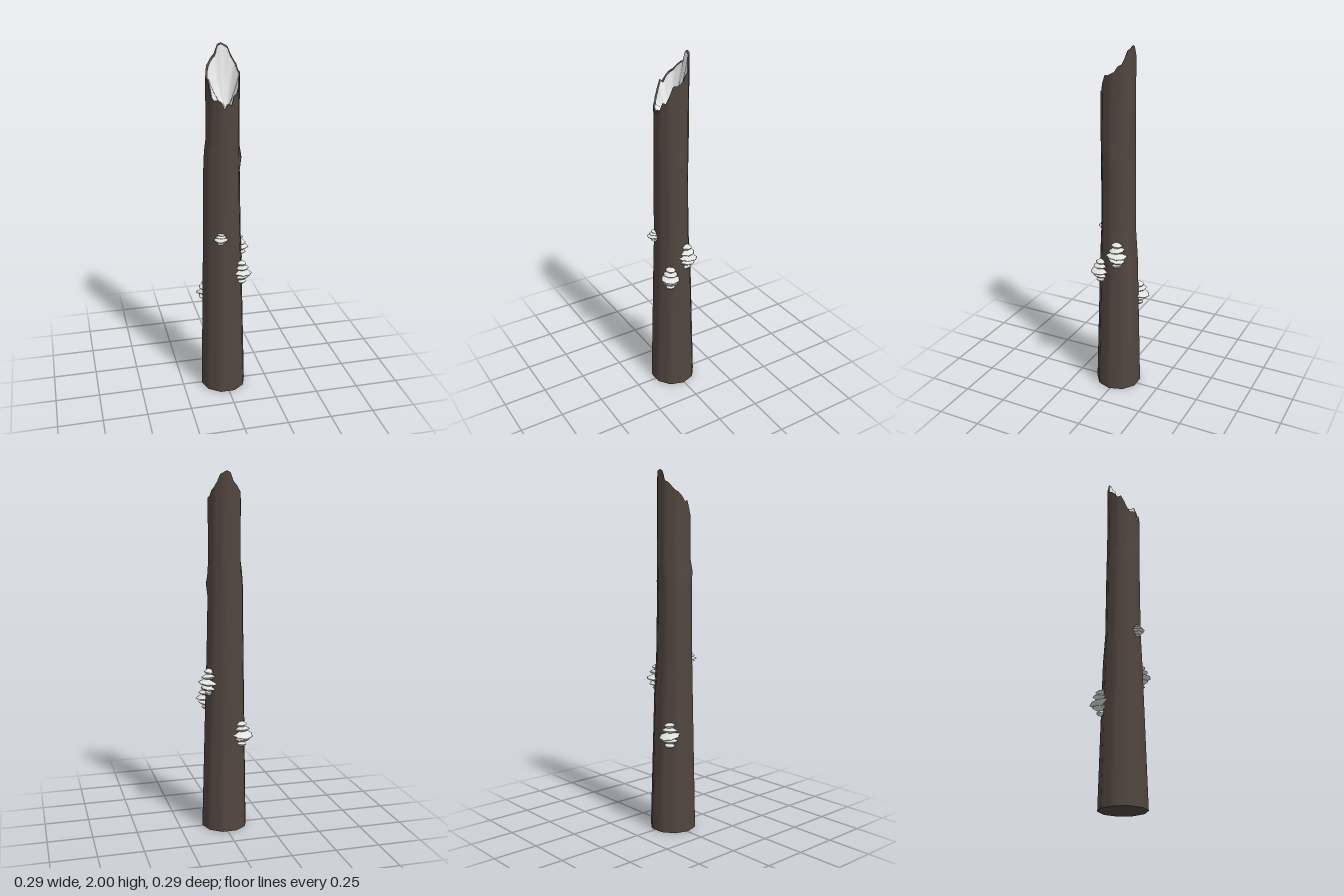
import * as THREE from 'three';

const SIDES = 10, SUB = 3, N = SIDES * SUB;

// Broken rim heights, running from +x through the front, -x and the back
const RIM = [
  1.86, 1.85, 1.85, 1.80, 1.76, 1.76, 1.71, 1.72, 1.69, 1.73,
  1.74, 1.73, 1.75, 1.80, 1.84, 1.83, 1.86, 1.88, 1.89, 1.91,
  1.93, 1.94, 1.99, 2.00, 1.99, 1.98, 1.94, 1.91, 1.90, 1.87,
];

// Point i on a ten-sided outline with SUB points per side
function outline(i) {
  const k = Math.floor(i / SUB), t = (i % SUB) / SUB, step = (Math.PI * 2) / SIDES;
  const a = k * step, b = (k + 1) * step;
  return [
    Math.cos(a) * (1 - t) + Math.cos(b) * t,
    Math.sin(a) * (1 - t) + Math.sin(b) * t,
  ];
}

// Ring of points: height may be a number or a function of the point index
function ring(y, cx, cz, rx, rz, swell = () => 0) {
  const pts = [];
  for (let i = 0; i < N; i++) {
    const [c, s] = outline(i);
    const k = 1 + swell(c, s);
    pts.push([cx + c * rx * k, typeof y === 'function' ? y(i) : y, cz + s * rz * k]);
  }
  return pts;
}

// Smooth skin through a list of rings, outward when rings go upward
function loft(rings) {
  const index = [];
  for (let j = 0; j < rings.length - 1; j++) {
    for (let i = 0; i < N; i++) {
      const n = (i + 1) % N;
      const a = j * N + i, b = j * N + n, c = a + N, d = b + N;
      index.push(a, c, b, b, c, d);
    }
  }
  const g = new THREE.BufferGeometry();
  g.setAttribute('position', new THREE.Float32BufferAttribute(rings.flat(2), 3));
  g.setIndex(index);
  g.computeVertexNormals();
  return g;
}

// Swelling towards one direction around the trunk
const knot = (angle, amount) => (c, s) =>
  amount * Math.max(0, c * Math.cos(angle) + s * Math.sin(angle)) ** 8;

export function createModel() {
  const group = new THREE.Group();
  const bark = new THREE.MeshStandardMaterial({ color: 0x52463f });
  bark.name = 'bark';
  const wood = new THREE.MeshStandardMaterial({ color: 0xe8e8e8 });
  wood.name = 'pale wood';
  const fungus = new THREE.MeshStandardMaterial({ color: 0xe2e2e0 });
  fungus.name = 'fungus';

  const add = (name, geometry, material, parent = group) => {
    const mesh = new THREE.Mesh(geometry, material);
    mesh.name = name;
    parent.add(mesh);
    return mesh;
  };

  // Trunk: tapering bark with two old knots
  const rim = (i) => RIM[i];
  const foot = ring(0, -0.01, 0.006, 0.13, 0.13);
  add('trunkBark', loft([
    foot,
    ring(0.8, -0.014, 0.006, 0.112, 0.107),
    ring(0.97, -0.016, 0.009, 0.107, 0.097),
    ring(1.33, -0.018, 0.01, 0.101, 0.095),
    ring(1.40, -0.017, 0.01, 0.1, 0.095, knot(0, 0.09)),
    ring(1.46, -0.014, 0.01, 0.096, 0.095, knot(2.6, 0.08)),
    ring(1.52, -0.012, 0.01, 0.092, 0.095),
    ring(rim, -0.012, 0.01, 0.092, 0.095),
  ]), bark);
  add('trunkBase', loft([ring(0, -0.01, 0.006, 0, 0), foot]), bark);

  // Splintered top: thin bark lip around a hollow of pale wood
  const inner = ring((i) => RIM[i] - 0.008, -0.01, 0.01, 0.083, 0.086);
  add('barkLip', loft([ring(rim, -0.012, 0.01, 0.092, 0.095), inner]), bark);
  add('brokenWood', loft([
    inner,
    ring((i) => RIM[i] * 0.5 + 0.85, -0.008, 0.015, 0.06, 0.062),
    ring((i) => RIM[i] * 0.2 + 1.34, -0.004, 0.02, 0.03, 0.03),
    ring(1.67, 0, 0.025, 0, 0),
  ]), wood);

  // Bracket fungi: stacks of lens-shaped shelves
  const shelf = new THREE.LatheGeometry(
    [[0, -0.5], [0.6, -0.36], [1, 0], [0.94, 0.1], [0.55, 0.4], [0, 0.5]]
      .map(([x, y]) => new THREE.Vector2(x, y)), 8);
  const tiers = [[0.1, 0.5], [0.3, 0.78], [0.5, 1], [0.72, 0.76], [0.91, 0.55]];
  const stacks = [
    // name, x, z, radius, bottom, top
    ['backRightFungus', -0.09, -0.09, 0.06, 0.49, 0.63],
    ['leftFungus', 0.088, -0.03, 0.059, 0.78, 0.93],
    ['frontLeftFungus', 0.085, 0.076, 0.054, 0.675, 0.81],
    ['frontFungus', -0.043, 0.105, 0.04, 0.935, 1.0],
  ];
  stacks.forEach(([name, x, z, r, y0, y1], s) => {
    const stack = new THREE.Group();
    stack.name = name;
    group.add(stack);
    const away = Math.hypot(x, z);
    tiers.forEach(([t, size], i) => {
      const mesh = add('shelf', shelf, fungus, stack);
      const back = (1 - size) * r * 0.25; // smaller shelves sit closer to the trunk
      mesh.position.set(x - (x / away) * back, y0 + (y1 - y0) * t, z - (z / away) * back);
      mesh.scale.set(r * size, (y1 - y0) * 0.22, r * size);
      mesh.rotation.set(0.12 * Math.sin(i * 2.3 + s), i * 0.9 + s, 0.12 * Math.cos(i * 1.7 + s));
    });
  });
  return group;
}
